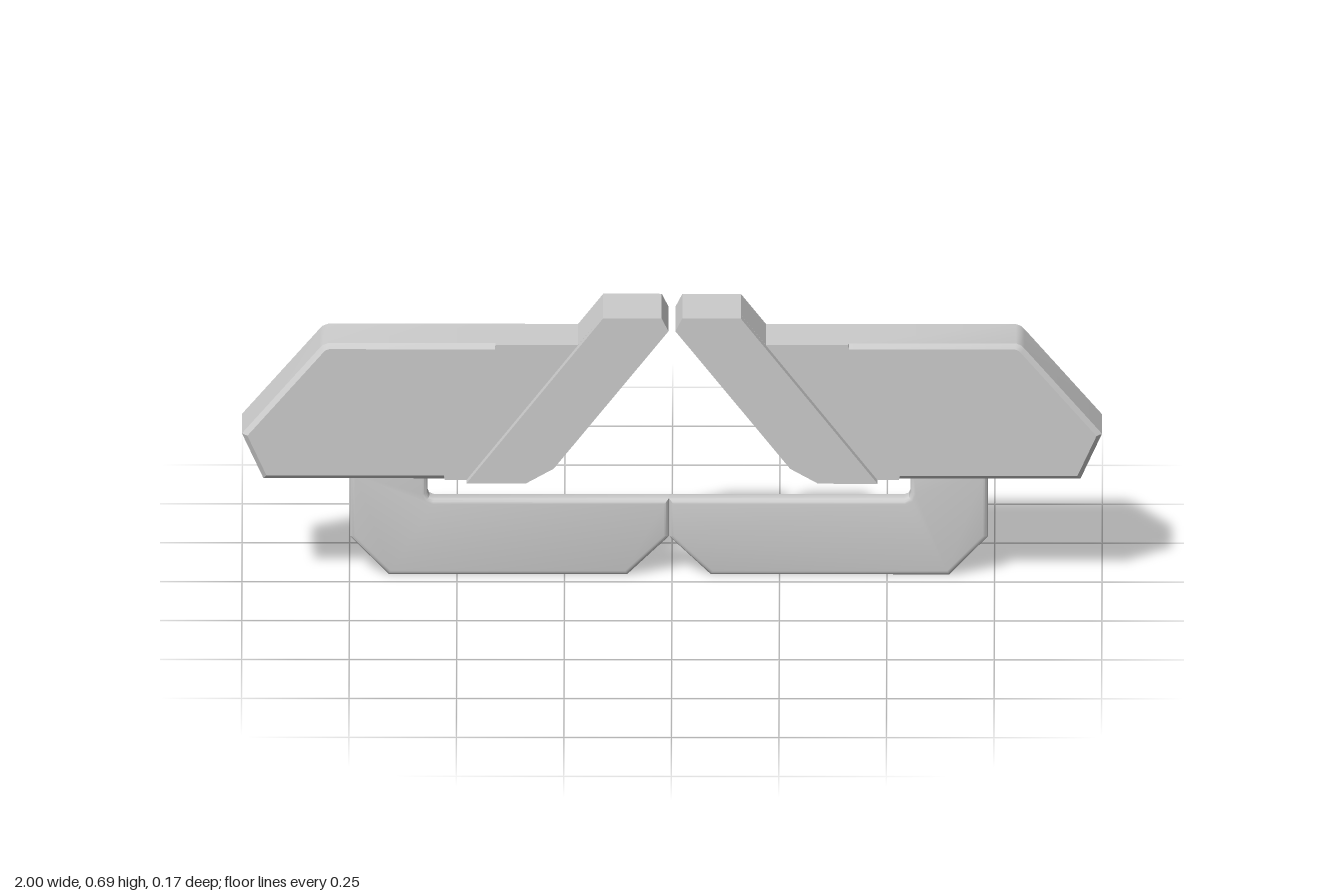
import * as THREE from 'three';
import { toCreasedNormals } from 'three/addons/utils/BufferGeometryUtils.js';

// Moves each corner of a counter-clockwise outline inwards by its own mitred distance.
function inset(points, distance) {
  const n = points.length;
  return points.map(([x, y], i) => {
    const d = typeof distance === 'number' ? distance : distance[i];
    const [px, py] = points[(i + n - 1) % n];
    const [qx, qy] = points[(i + 1) % n];
    const a = new THREE.Vector2(py - y, x - px).normalize();
    const b = new THREE.Vector2(y - qy, qx - x).normalize();
    const k = d / (1 + a.dot(b));
    return [x + (a.x + b.x) * k, y + (a.y + b.y) * k];
  });
}

// Solid through a stack of outlines, ordered from back to front.
function layeredSolid(outline, layers) {
  const n = outline.length;
  const positions = [];
  const index = [];
  const rings = layers.map(({ z, d }) => {
    const ring = inset(outline, d);
    ring.forEach(([x, y]) => positions.push(x, y, z));
    return ring;
  });
  for (let k = 0; k < rings.length - 1; k++) {
    for (let i = 0; i < n; i++) {
      const a = k * n + i, b = k * n + (i + 1) % n;
      index.push(a, b, b + n, a, b + n, a + n);
    }
  }
  const cap = (k, front) => {
    const contour = rings[k].map(([x, y]) => new THREE.Vector2(x, y));
    for (const [a, b, c] of THREE.ShapeUtils.triangulateShape(contour, [])) {
      const o = k * n;
      if (front) index.push(o + a, o + b, o + c);
      else index.push(o + a, o + c, o + b);
    }
  };
  cap(0, false);
  cap(rings.length - 1, true);
  const geometry = new THREE.BufferGeometry();
  geometry.setAttribute('position', new THREE.Float32BufferAttribute(positions, 3));
  geometry.setIndex(index);
  return toCreasedNormals(geometry, 0.5);
}

// Wing with the slanted arm's silhouette; the third value is the front chamfer.
const C = 0.011;
const WING = [
  [0.34, 0.278, 0], [0.528, 0.278, 0], [0.53, 0.278, C], [0.95, 0.278, C],
  [0.997, 0.383, C], [1, 0.39, C], [0.82, 0.602, C], [0.812, 0.61, C], [0.8, 0.615, C],
  [0.412, 0.615, C], [0.41, 0.615, 0], [0.2183, 0.615, 0],
  [0.16, 0.69, 0], [0.024, 0.69, 0], [0.008, 0.658, 0], [0.275, 0.315, 0]
];

// Raised slanted arm on the front of the wing.
const ARM = [
  [0.34, 0.278], [0.478, 0.278], [0.16, 0.69], [0.024, 0.69], [0.008, 0.658], [0.275, 0.315]
];

// Lower hook with a small fillet in its inner corner.
const HOOK = [
  [0, 0.095], [0.097, 0], [0.652, 0], [0.742, 0.095], [0.742, 0.263], [0.562, 0.263],
  [0.562, 0.205], [0.5575, 0.1945], [0.547, 0.19], [0, 0.19]
];

const mirrored = points => points.map(([x, ...rest]) => [-x, ...rest]).reverse();

export function createModel() {
  const group = new THREE.Group();
  const material = new THREE.MeshStandardMaterial({ color: 0xcccccc });
  const add = (name, geometry, x = 0) => {
    const mesh = new THREE.Mesh(geometry, material);
    mesh.name = name;
    mesh.position.x = x;
    group.add(mesh);
  };

  // Rounded edge profile of the hooks
  const R = 0.012, BACK = -0.085, FRONT = -0.04, STEPS = 4;
  const rounded = [];
  for (let i = 0; i <= STEPS; i++) {
    const a = (i / STEPS) * Math.PI / 2;
    rounded.push({ z: BACK + R * (1 - Math.cos(a)), d: R * (1 - Math.sin(a)) });
  }
  for (let i = STEPS; i >= 0; i--) {
    const a = (i / STEPS) * Math.PI / 2;
    rounded.push({ z: FRONT - R * (1 - Math.cos(a)), d: R * (1 - Math.sin(a)) });
  }

  for (const side of ['left', 'right']) {
    const place = side === 'left' ? points => points : mirrored;
    const wing = place(WING);
    add(side + 'Wing', layeredSolid(wing, [
      { z: -0.085, d: C }, { z: -0.074, d: 0 },
      { z: 0.051, d: 0 }, { z: 0.062, d: wing.map(p => p[2]) }
    ]));
    add(side + 'Arm', layeredSolid(place(ARM), [{ z: 0.062, d: 0 }, { z: 0.085, d: 0 }]));
    add(side + 'Hook', layeredSolid(place(HOOK), rounded), -0.007);
  }
  return group;
}
